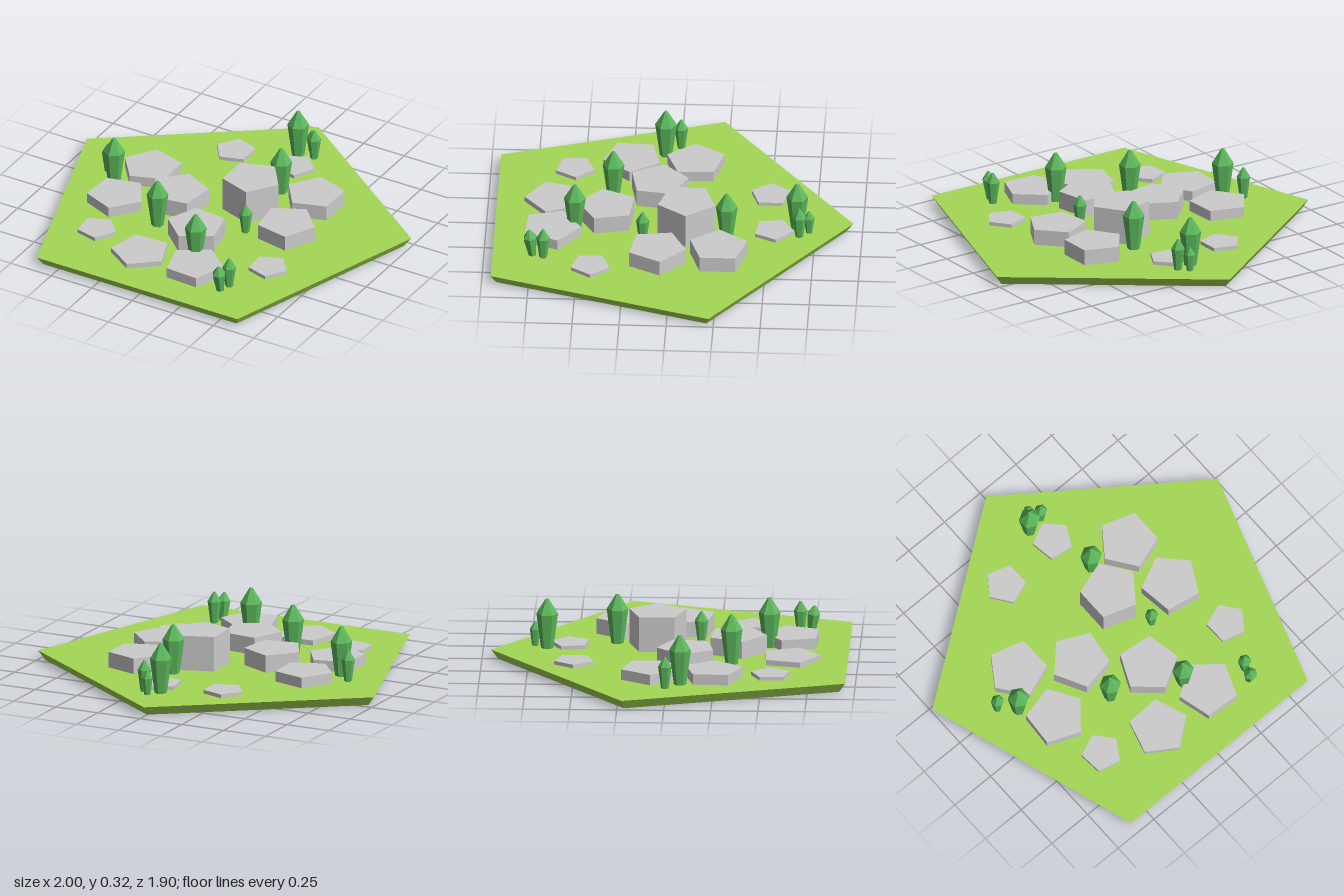
import * as THREE from 'three';

const material = (color) => new THREE.MeshStandardMaterial({ color, flatShading: true });
const GROUND = 0.05;

export function createModel() {
  const model = new THREE.Group();
  const grass = material(0xa4d855);
  const rock = material(0xcccccc);
  const leaf = material(0x5cb85c);

  // Pentagonal ground slab, tapering towards the bottom
  const ground = new THREE.Mesh(new THREE.CylinderGeometry(1.0515, 1.013, GROUND, 5), grass);
  ground.name = 'ground';
  ground.rotation.y = Math.PI;
  ground.position.set(0, GROUND / 2, 0.1);
  model.add(ground);

  // Pentagonal stones: x, z, radius, top height, direction of one corner in degrees (from +x to +z)
  const stones = [
    [-0.25, -0.503, 0.11, 0.07, 180],
    [0.106, -0.53, 0.108, 0.07, -81],
    [0.389, -0.251, 0.16, 0.135, 180],
    [-0.522, -0.09, 0.16, 0.107, 178],
    [0.112, -0.07, 0.16, 0.24, 0],
    [-0.245, 0.096, 0.16, 0.145, -100],
    [0.412, 0.077, 0.16, 0.135, -80],
    [-0.537, 0.246, 0.16, 0.107, 4],
    [0.016, 0.355, 0.16, 0.145, 96],
    [-0.158, 0.644, 0.16, 0.078, 87],
    [0.179, 0.649, 0.16, 0.107, -87],
    [0.503, 0.426, 0.108, 0.07, -2],
    [-0.479, 0.55, 0.108, 0.07, -77],
  ];
  const stoneGroup = new THREE.Group();
  stoneGroup.name = 'stones';
  for (const [x, z, radius, top, corner] of stones) {
    const height = top - GROUND;
    const stone = new THREE.Mesh(new THREE.CylinderGeometry(radius, radius, height, 5), rock);
    stone.name = 'stone';
    stone.position.set(x, GROUND + height / 2, z);
    stone.rotation.y = THREE.MathUtils.degToRad(90 - corner);
    stoneGroup.add(stone);
  }
  model.add(stoneGroup);

  // Six-sided bushes, widest near the top: profile of unit radius and height
  const profile = [[0, 0], [0.57, 0], [1, 0.7], [0.16, 1], [0, 1]].map(([r, y]) => new THREE.Vector2(r, y));
  const bushGeometry = new THREE.LatheGeometry(profile, 6);

  // x, z, radius, top height, turn, lean
  const bushes = [
    [0.05, -0.655, 0.058, 0.32],
    [0.097, -0.72, 0.029, 0.18],
    [0.14, -0.67, 0.036, 0.22],
    [0.163, -0.285, 0.058, 0.317],
    [-0.735, -0.003, 0.036, 0.22],
    [-0.655, 0.075, 0.058, 0.32],
    [-0.235, 0.335, 0.058, 0.32],
    [0.205, 0.16, 0.036, 0.215],
    [0.112, 0.525, 0.058, 0.32],
    [0.41, 0.68, 0.036, 0.22],
    [0.388, 0.738, 0.038, 0.203, Math.PI / 6, 0.12],
  ];
  const bushGroup = new THREE.Group();
  bushGroup.name = 'bushes';
  for (const [x, z, radius, top, turn = 0, lean = 0] of bushes) {
    const bush = new THREE.Mesh(bushGeometry, leaf);
    bush.name = 'bush';
    bush.position.set(x, GROUND, z);
    bush.scale.set(radius, top - GROUND, radius);
    bush.rotation.set(lean, turn, 0);
    bushGroup.add(bush);
  }
  model.add(bushGroup);

  return model;
}
